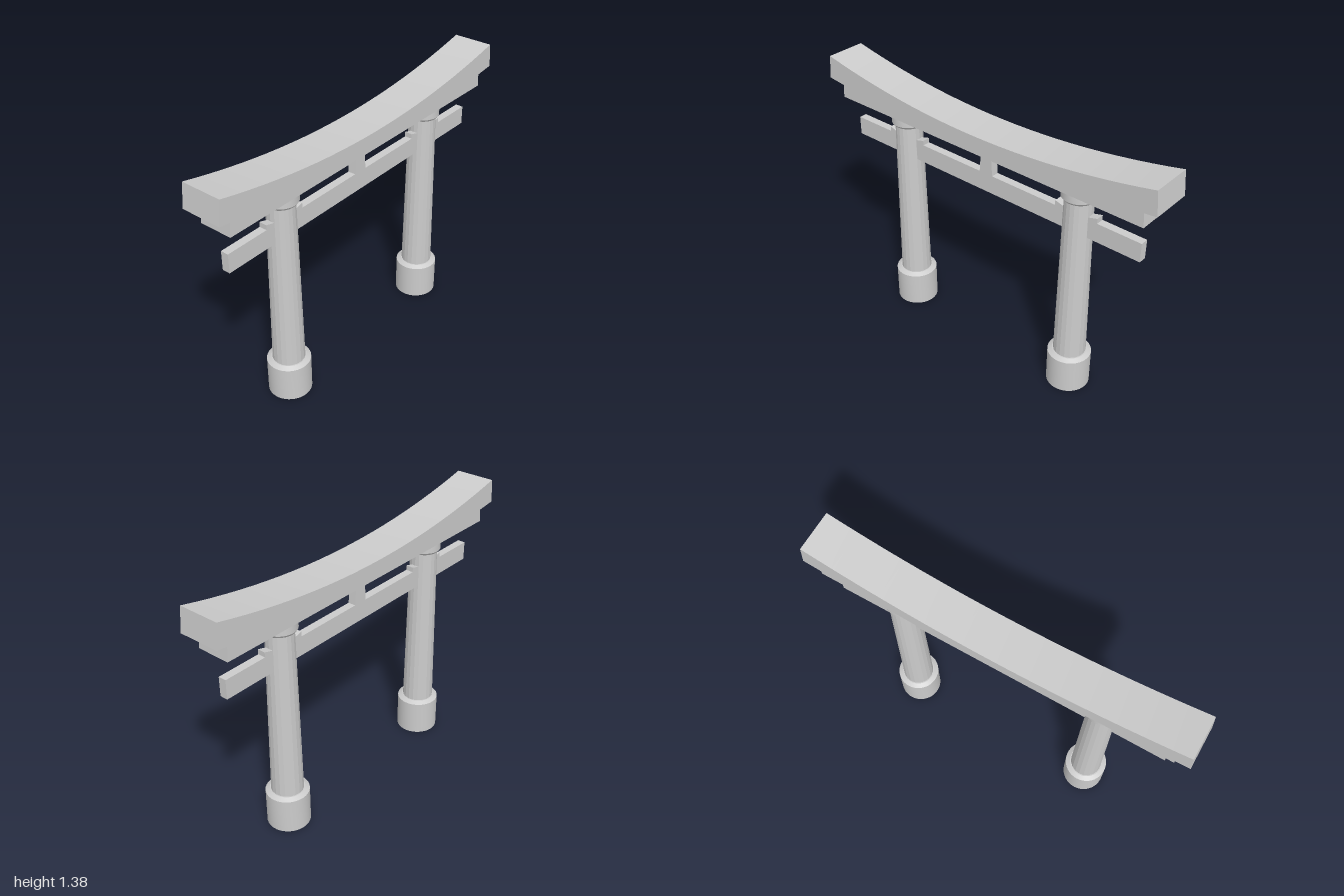
import * as THREE from 'three';
import { toCreasedNormals } from 'three/addons/utils/BufferGeometryUtils.js';

const material = new THREE.MeshStandardMaterial({ color: 0xcccccc });
const pillarMaterial = new THREE.MeshStandardMaterial({ color: 0xcccccc, flatShading: true });

const roofTop = (x) => 1.27 + 0.115 * x * x;
const roofBottom = (x) => 1.197 + 0.06 * x * x;

function addMesh(parent, name, geometry, mat = material) {
  const mesh = new THREE.Mesh(geometry, mat);
  mesh.name = name;
  parent.add(mesh);
  return mesh;
}

// Front outline extruded evenly about z = 0
function slab(points, depth) {
  const shape = new THREE.Shape(points.map(([x, y]) => new THREE.Vector2(x, y)));
  const geometry = new THREE.ExtrudeGeometry(shape, { depth, bevelEnabled: false });
  geometry.translate(0, 0, -depth / 2);
  return toCreasedNormals(geometry, 0.4);
}

// Points along a curve from x0 to x1
function sweep(curve, x0, x1, steps = 24) {
  return Array.from({ length: steps + 1 }, (_, i) => {
    const x = x0 + ((x1 - x0) * i) / steps;
    return [x, curve(x)];
  });
}

function turned(profile, sides) {
  const points = profile.map(([r, y]) => new THREE.Vector2(r, y));
  return toCreasedNormals(new THREE.LatheGeometry(points, sides), 0.4);
}

function createPost(side) {
  const post = new THREE.Group();
  post.name = side > 0 ? 'leftPost' : 'rightPost';
  post.position.x = side * 0.54;

  // Footing with a chamfered rim
  addMesh(post, 'footing', turned([[0, 0], [0.111, 0], [0.111, 0.19], [0.088, 0.203], [0, 0.203]], 40));

  // Tapered pillar
  const pillar = new THREE.CylinderGeometry(0.07, 0.083, 0.93, 20);
  addMesh(post, 'pillar', pillar, pillarMaterial).position.y = 0.66;

  // Collar under the lintel
  addMesh(post, 'collar', turned([[0, 1.11], [0.078, 1.11], [0.087, 1.122], [0.087, 1.16], [0, 1.16]], 40));

  // Wedges on the tie beam, rising away from the pillar
  for (const s of [-1, 1]) {
    const outline = [[0.06, 1.02], [0.118, 1.02], [0.118, 1.052], [0.06, 1.036]];
    addMesh(post, 'wedge', slab(outline.map(([x, y]) => [s * x, y]), 0.042));
  }
  return post;
}

export function createModel() {
  const gate = new THREE.Group();
  gate.name = 'gate';

  for (const side of [-1, 1]) gate.add(createPost(side));

  // Curved top beam with slanted ends
  addMesh(gate, 'topBeam', slab([...sweep(roofBottom, -1, 1), ...sweep(roofTop, 0.987, -0.987)], 0.216));

  // Lintel, flat below and following the top beam above
  addMesh(gate, 'lintel', slab([[-0.93, 1.16], [0.93, 1.16], ...sweep(roofBottom, 0.924, -0.924)], 0.174));

  // Straight tie beam through the pillars
  addMesh(gate, 'tieBeam', new THREE.BoxGeometry(1.79, 0.1, 0.042)).position.y = 0.976;

  // Tapered centre strut
  addMesh(gate, 'centreStrut', slab([[-0.04, 1.026], [0.04, 1.026], [0.03, 1.162], [-0.03, 1.162]], 0.042));

  return gate;
}
